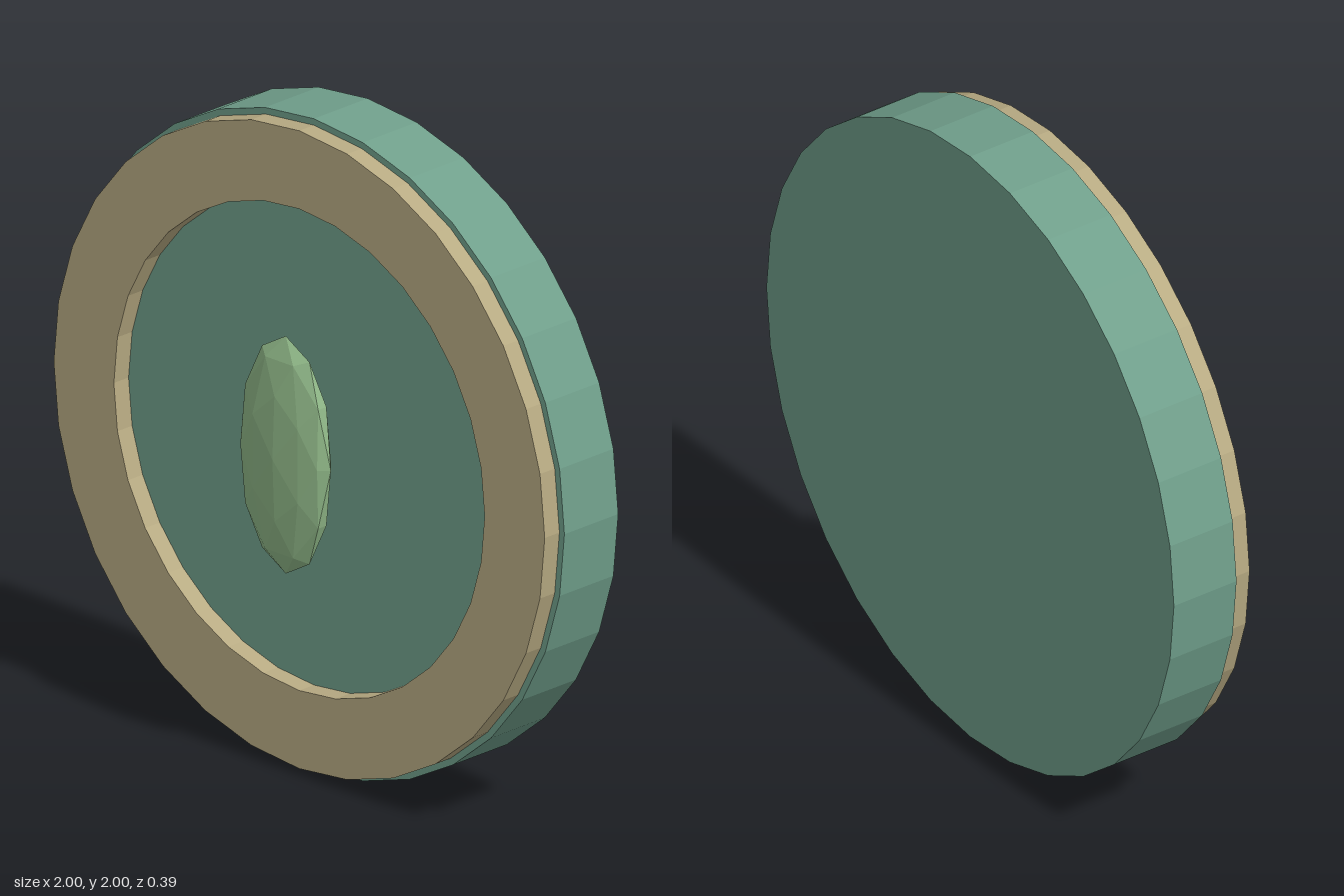
import * as THREE from 'three';

const SIDES = 32;

function makeMaterial(name, color) {
  const material = new THREE.MeshStandardMaterial({ color, flatShading: true });
  material.name = name;
  return material;
}

// Circle outline with straight sides, added to a Shape or Path
function polygon(path, radius) {
  const points = [];
  for (let i = 0; i < SIDES; i++) {
    const a = (i / SIDES) * Math.PI * 2;
    points.push(new THREE.Vector2(Math.cos(a) * radius, Math.sin(a) * radius));
  }
  return path.setFromPoints(points);
}

export function createModel() {
  const model = new THREE.Group();
  model.name = 'medallion';

  const add = (name, geometry, material, z) => {
    const mesh = new THREE.Mesh(geometry, material);
    mesh.name = name;
    mesh.position.set(0, 1, z);
    model.add(mesh);
    return mesh;
  };

  // Thick round base, facing forward
  const discGeometry = new THREE.CylinderGeometry(1, 1, 0.22, SIDES).rotateX(Math.PI / 2);
  add('baseDisc', discGeometry, makeMaterial('teal', 0x709f8b), -0.085);

  // Raised flat ring on the front
  const ringShape = polygon(new THREE.Shape(), 0.98);
  ringShape.holes.push(polygon(new THREE.Path(), 0.74));
  const ringGeometry = new THREE.ExtrudeGeometry(ringShape, { depth: 0.06, bevelEnabled: false });
  add('rimRing', ringGeometry, makeMaterial('tan', 0xb8ab83), 0.025);

  // Faceted oval stone in front of the centre
  const stone = new THREE.IcosahedronGeometry(1, 1).scale(0.18, 0.365, 0.055);
  add('centreStone', stone, makeMaterial('light green', 0x90b888), 0.14);

  return model;
}
